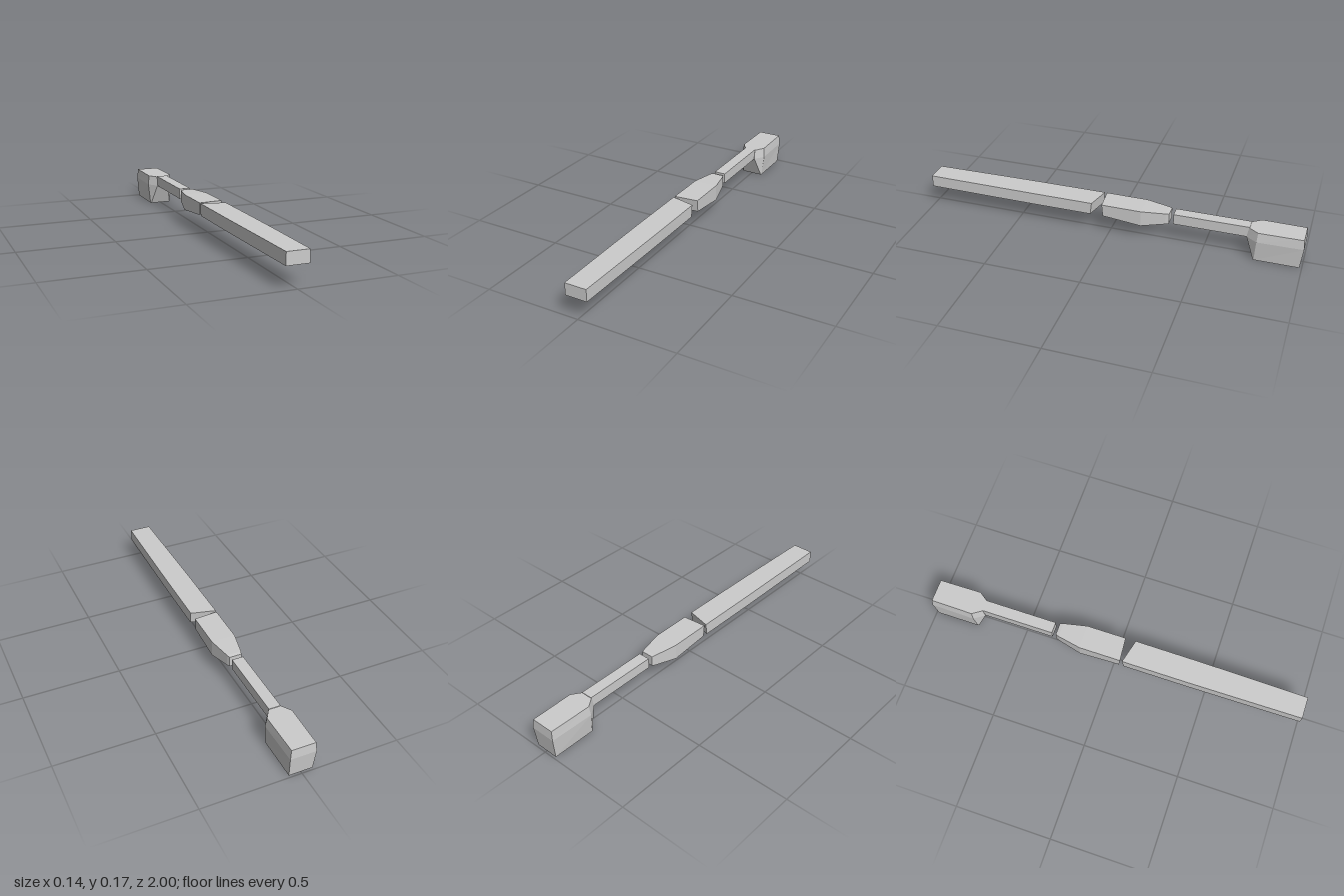
import * as THREE from 'three';

const material = new THREE.MeshStandardMaterial({ color: 0xcccccc, flatShading: true });

// Joins matching convex rings of [x, y, z] points and caps both ends.
function loft(name, rings) {
  const pos = [];
  const tri = (a, b, c) => pos.push(...a, ...b, ...c);
  const n = rings[0].length;
  for (let r = 0; r < rings.length - 1; r++) {
    for (let i = 0; i < n; i++) {
      const j = (i + 1) % n, lo = rings[r], hi = rings[r + 1];
      tri(lo[i], lo[j], hi[j]);
      tri(lo[i], hi[j], hi[i]);
    }
  }
  const first = rings[0], last = rings[rings.length - 1];
  for (let i = 1; i < n - 1; i++) {
    tri(first[0], first[i + 1], first[i]);
    tri(last[0], last[i], last[i + 1]);
  }
  const geo = new THREE.BufferGeometry();
  geo.setAttribute('position', new THREE.Float32BufferAttribute(pos, 3));
  geo.computeVertexNormals();
  const mesh = new THREE.Mesh(geo, material);
  mesh.name = name;
  return mesh;
}

// Rectangular section across z; the two sides may sit at different z.
function section(x0, x1, y0, y1, zNeg, zPos = zNeg, lean = 0) {
  return [[x0, y0, zNeg + lean], [x1, y0, zPos + lean], [x1, y1, zPos], [x0, y1, zNeg]];
}

// Six-sided horizontal section of the head, mirrored in x.
function headSection(y, front, zFront, side, zSide, back, zBack) {
  return [[front, y, zFront], [side, y, zSide], [back, y, zBack],
    [-back, y, zBack], [-side, y, zSide], [-front, y, zFront]];
}

export function createModel() {
  const group = new THREE.Group();

  // Long bar with a slanted rear cut
  group.add(loft('longBar', [
    section(-0.064, 0.064, 0.108, 0.172, 0.055, 0.087, 0.008),
    section(-0.064, 0.063, 0.108, 0.172, 0.4),
    section(-0.062, 0.061, 0.108, 0.172, 0.62),
    section(-0.058, 0.056, 0.108, 0.171, 1),
  ]));

  // Middle piece: tapering to the rear, with a keeled underside
  group.add(loft('middleGrip', [
    section(-0.032, 0.032, 0.109, 0.165, -0.316),
    section(-0.038, 0.038, 0.106, 0.167, -0.298),
    section(-0.063, 0.063, 0.087, 0.171, -0.175),
    section(-0.063, 0.063, 0.108, 0.172, 0.044, 0.033, -0.006),
  ]));

  // Thin neck
  group.add(loft('neck', [
    section(-0.03, 0.03, 0.11, 0.166, -0.725),
    section(-0.03, 0.03, 0.11, 0.166, -0.338),
  ]));

  // Head: widest at mid height, bevelled front corners
  group.add(loft('head', [
    headSection(0, 0.057, -0.757, 0.06, -0.762, 0.06, -0.988),
    headSection(0.112, 0.032, -0.713, 0.07, -0.768, 0.066, -1),
    headSection(0.163, 0.03, -0.722, 0.064, -0.772, 0.061, -0.996),
  ]));

  return group;
}
